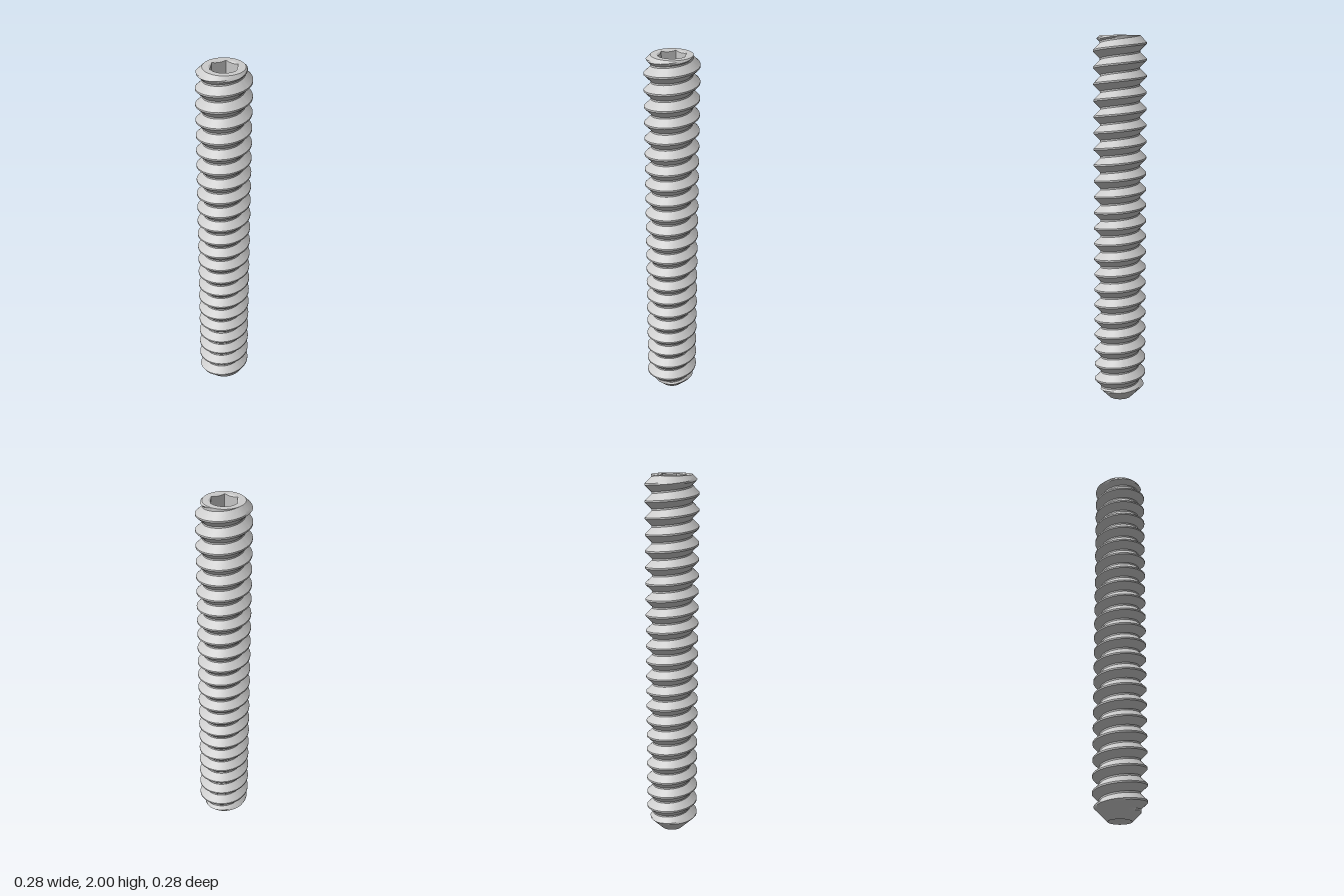
import * as THREE from 'three';
import { toCreasedNormals } from 'three/addons/utils/BufferGeometryUtils.js';

const SEG = 96;
const HEIGHT = 2, PITCH = 0.0865;
const CREST_R = 0.142, ROOT_R = 0.107;
const CREST_Y = 1.922;               // height of one crest at angle 0
const CUP_R = 0.062, CUP_DEPTH = 0.036;
const HEX_FLAT = 0.065, HEX_CORNER = 0.075, HEX_DEPTH = 0.14;

// Skin between rings stacked bottom to top on the outside; ring(angle, row) gives [radius, y]
function loft(rows, ring) {
  const pos = [];
  const point = (i, j) => {
    const a = (i / SEG) * Math.PI * 2;
    const [r, y] = ring(a, j);
    return new THREE.Vector3(r * Math.cos(a), y, -r * Math.sin(a));
  };
  const tri = (a, b, c) => {
    const n = b.clone().sub(a).cross(c.clone().sub(a));
    if (n.length() > 1e-9) for (const p of [a, b, c]) pos.push(p.x, p.y, p.z);
  };
  for (let j = 0; j < rows - 1; j++) {
    for (let i = 0; i < SEG; i++) {
      const a = point(i, j), b = point(i + 1, j);
      const c = point(i + 1, j + 1), d = point(i, j + 1);
      tri(a, b, c);
      tri(a, c, d);
    }
  }
  const g = new THREE.BufferGeometry();
  g.setAttribute('position', new THREE.Float32BufferAttribute(pos, 3));
  return toCreasedNormals(g, 0.5);
}

// One pitch of thread: crest flat, upper flank, root flat, lower flank, as [offset / pitch, radius]
function threadProfile() {
  const flat = 0.05, steps = 4, points = [];
  for (let s = 0; s <= steps; s++) {
    const t = s / steps;
    points.push([flat + t * (0.5 - 2 * flat), CREST_R + t * (ROOT_R - CREST_R)]);
  }
  for (let s = 0; s <= steps; s++) {
    const t = s / steps;
    points.push([0.5 + flat + t * (0.5 - 2 * flat), ROOT_R + t * (CREST_R - ROOT_R)]);
  }
  return points;
}

// Right-hand helical thread, trimmed by 45 degree cones at both ends
function threadGeometry() {
  const profile = threadProfile(), n = profile.length;
  const turnsBelow = 24, turns = 27;
  return loft(turns * n, (a, j) => {
    const [offset, radius] = profile[j % n];
    const turn = Math.floor(j / n) - turnsBelow + a / (2 * Math.PI);
    const y = THREE.MathUtils.clamp(CREST_Y + PITCH * (turn + offset), 0, HEIGHT);
    return [Math.min(radius, ROOT_R + HEIGHT - y, CUP_R + y), y];
  });
}

// Distance from the axis to the hexagon wall, corners on the x axis
function hexRadius(a) {
  const third = Math.PI / 3;
  const local = a - Math.floor(a / third + 1e-6) * third;
  return HEX_FLAT / Math.cos(local - third / 2);
}

// Top face, countersink, hexagon walls and floor
function socketGeometry() {
  const floor = HEIGHT - HEX_DEPTH;
  return loft(5, (a, j) => {
    const h = hexRadius(a);
    return [
      [ROOT_R, HEIGHT],
      [HEX_CORNER, HEIGHT],
      [h, HEIGHT - (HEX_CORNER - h) * 0.58],
      [h, floor],
      [0, floor],
    ][j];
  });
}

export function createModel() {
  const group = new THREE.Group();
  group.name = 'setScrew';
  const material = new THREE.MeshStandardMaterial({ color: 0xcccccc });
  const add = (name, geometry) => {
    const mesh = new THREE.Mesh(geometry, material);
    mesh.name = name;
    group.add(mesh);
  };
  add('threadedShank', threadGeometry());
  add('hexSocket', socketGeometry());
  // Conical hollow in the tip
  add('cupPoint', loft(2, (a, j) => (j ? [CUP_R, 0] : [0, CUP_DEPTH])));
  return group;
}
